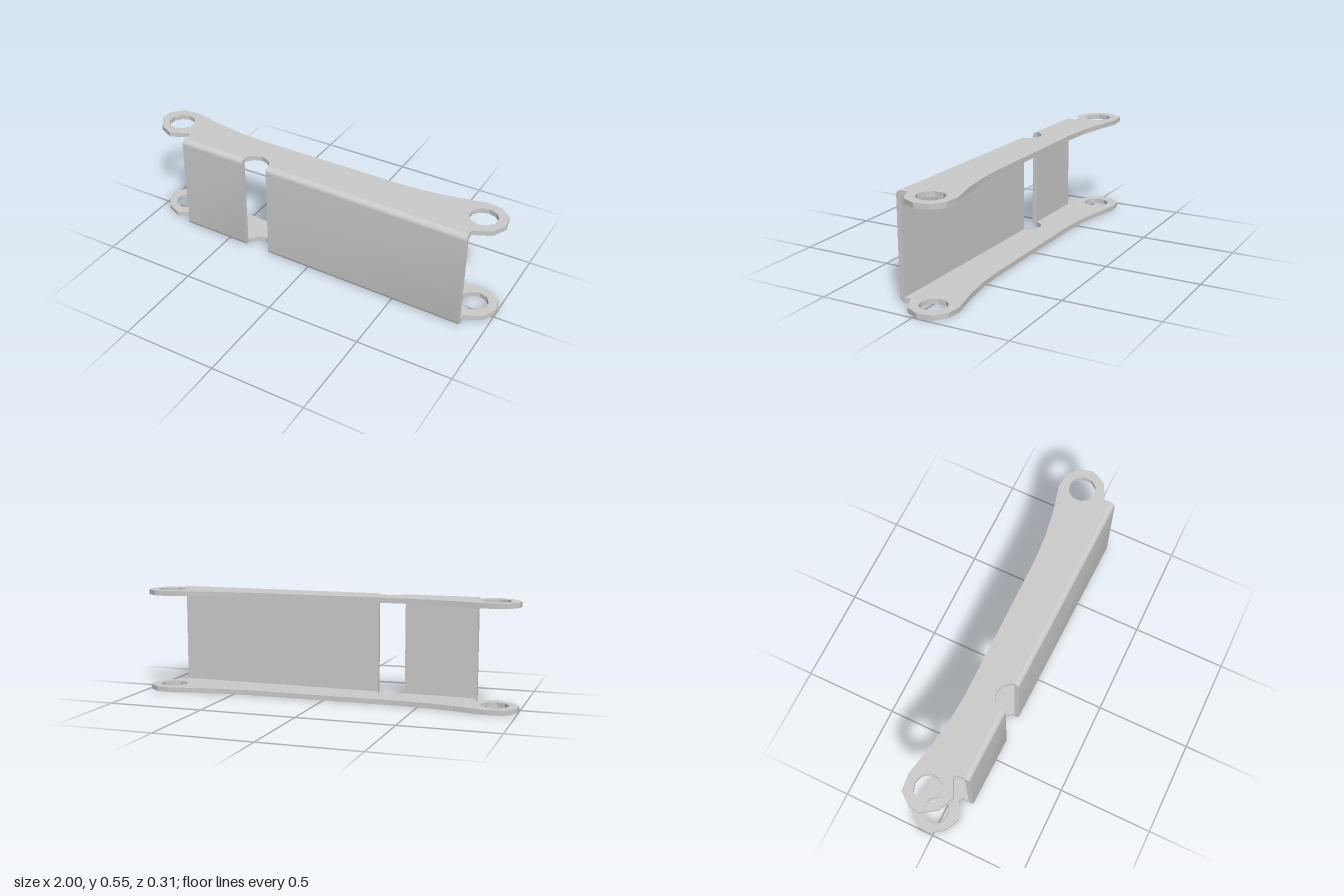
import * as THREE from 'three';
import { toCreasedNormals } from 'three/addons/utils/BufferGeometryUtils.js';

const HEIGHT = 0.545, T = 0.026, SLOPE = 0.0195;
const frontZ = (x) => 0.135 + SLOPE * x; // outer face of the slightly slanted web
const innerZ = (x) => frontZ(x) - T;
const WEBS = { webLeftPanel: [-0.24, 0.875], webRightPanel: [-0.765, -0.385] };

// Flange outline in (x, z), with a pin hole in each end lug
function flangeShape() {
  const [r0, r1] = WEBS.webRightPanel, [l0, l1] = WEBS.webLeftPanel;
  const outline = [
    // right lug and its relief notch
    [-0.7, -0.122], [-0.85, -0.155], [-0.945, -0.147], [-0.995, -0.083], [-1, -0.025],
    [-0.95, 0.05], [-0.87, 0.088], [-0.795, 0.05], [-0.778, 0.046], [r0, 0.055],
    // front edge with the round cut-out between the web panels
    [r0, innerZ(r0)], [r0 + 0.38, innerZ(r0 + 0.38)],
    [-0.38, 0.088], [-0.353, 0.057], [-0.312, 0.043], [-0.27, 0.057], [-0.243, 0.088],
    [l0, innerZ(l0)], [l1, innerZ(l1)],
    // left lug
    [0.872, 0.093], [0.963, 0.05], [1, -0.025], [0.985, -0.1], [0.925, -0.147], [0.845, -0.155],
    // shallow concave back edge
    [0.685, -0.118], [0.535, -0.096], [0.395, -0.088],
    [-0.395, -0.088], [-0.545, -0.097],
  ];
  const shape = new THREE.Shape(outline.map(([x, z]) => new THREE.Vector2(x, z)));
  for (const cx of [-0.88, 0.88]) {
    const pts = [];
    for (let i = 0; i < 10; i++) {
      const a = (i + 0.5) * Math.PI / 5;
      pts.push(new THREE.Vector2(cx + 0.071 * Math.cos(a), -0.038 + 0.071 * Math.sin(a)));
    }
    shape.holes.push(new THREE.Path(pts));
  }
  return shape;
}

// Web panel: upright strip with rounded outer bends, extruded along x and slanted
function webGeometry(x0, x1) {
  const s = new THREE.Shape();
  s.moveTo(T, 0);
  s.lineTo(T, HEIGHT);
  s.absarc(T, HEIGHT - T, T, Math.PI / 2, Math.PI, false);
  s.absarc(T, T, T, Math.PI, Math.PI * 1.5, false);
  const g = new THREE.ExtrudeGeometry(s, { depth: x1 - x0, bevelEnabled: false, curveSegments: 5 });
  g.rotateY(Math.PI / 2).translate(x0, 0, 0);
  const p = g.attributes.position;
  for (let i = 0; i < p.count; i++) p.setZ(i, p.getZ(i) + frontZ(p.getX(i)));
  return toCreasedNormals(g, 0.6);
}

export function createModel() {
  const model = new THREE.Group();
  model.name = 'channelLink';
  const material = new THREE.MeshStandardMaterial({ color: 0xcccccc });
  const add = (name, geometry) => {
    const mesh = new THREE.Mesh(geometry, material);
    mesh.name = name;
    model.add(mesh);
  };

  // Top and bottom flanges
  const shape = flangeShape();
  for (const [name, topY] of [['bottomFlange', T], ['topFlange', HEIGHT]]) {
    const g = new THREE.ExtrudeGeometry(shape, { depth: T, bevelEnabled: false });
    g.rotateX(Math.PI / 2).translate(0, topY, 0);
    add(name, toCreasedNormals(g, 0.4));
  }

  // Front web panels joining the flanges
  for (const [name, [x0, x1]] of Object.entries(WEBS)) add(name, webGeometry(x0, x1));
  return model;
}
